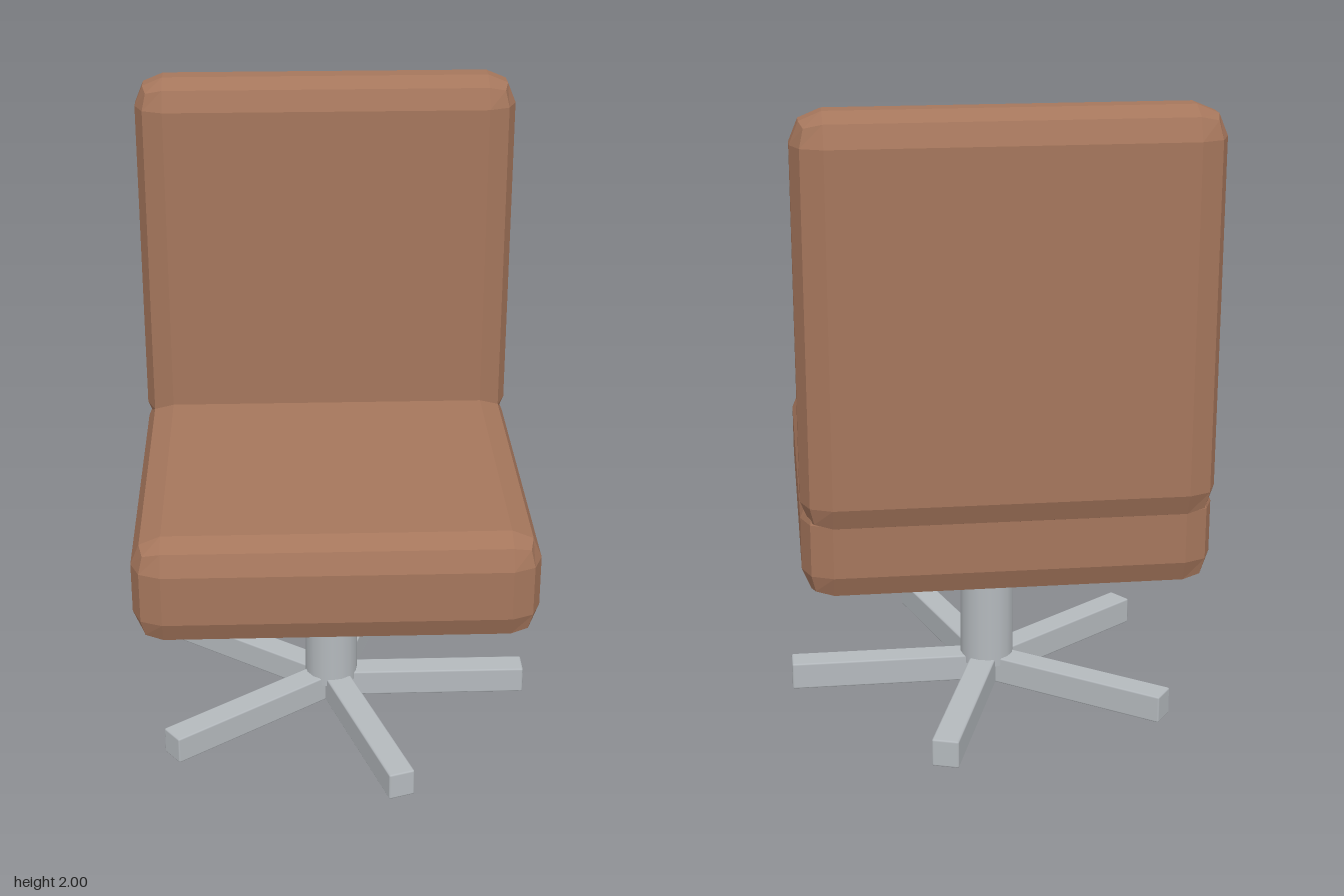
import * as THREE from 'three';
import { RoundedBoxGeometry } from 'three/addons/geometries/RoundedBoxGeometry.js';

export function createModel() {
  const leather = new THREE.MeshStandardMaterial({ color: 0xa5765c, flatShading: true });
  leather.name = 'brown leather';
  const metal = new THREE.MeshStandardMaterial({ color: 0xb4b9bd });
  metal.name = 'grey metal';

  const chair = new THREE.Group();
  chair.name = 'swivelChair';
  const cx = -0.02, cz = 0.01; // swivel axis

  const add = (name, geometry, material, x, y, z, parent = chair) => {
    const mesh = new THREE.Mesh(geometry, material);
    mesh.name = name;
    mesh.position.set(x, y, z);
    parent.add(mesh);
    return mesh;
  };

  // Cushions with two-step bevelled edges
  const cushion = (w, h, d) => new RoundedBoxGeometry(w, h, d, 1, 0.092);
  add('seat', cushion(1.23, 0.345, 1.23), leather, cx, 0.7175, cz);
  add('backrest', cushion(1.23, 1.23, 0.245), leather, cx, 1.385, -0.5175);

  // Central post
  add('post', new THREE.CylinderGeometry(0.0875, 0.0875, 0.49, 16), metal, cx, 0.31, cz);

  // Five-legged star base, first leg pointing along +x
  const base = new THREE.Group();
  base.name = 'starBase';
  base.position.set(cx, 0, cz);
  chair.add(base);
  const legGeometry = new RoundedBoxGeometry(0.65, 0.09, 0.085, 1, 0.006);
  legGeometry.translate(0.325, 0.045, 0);
  for (let i = 0; i < 5; i++) {
    const leg = add('leg', legGeometry, metal, 0, 0, 0, base);
    leg.rotation.y = (i * Math.PI * 2) / 5;
  }

  return chair;
}
